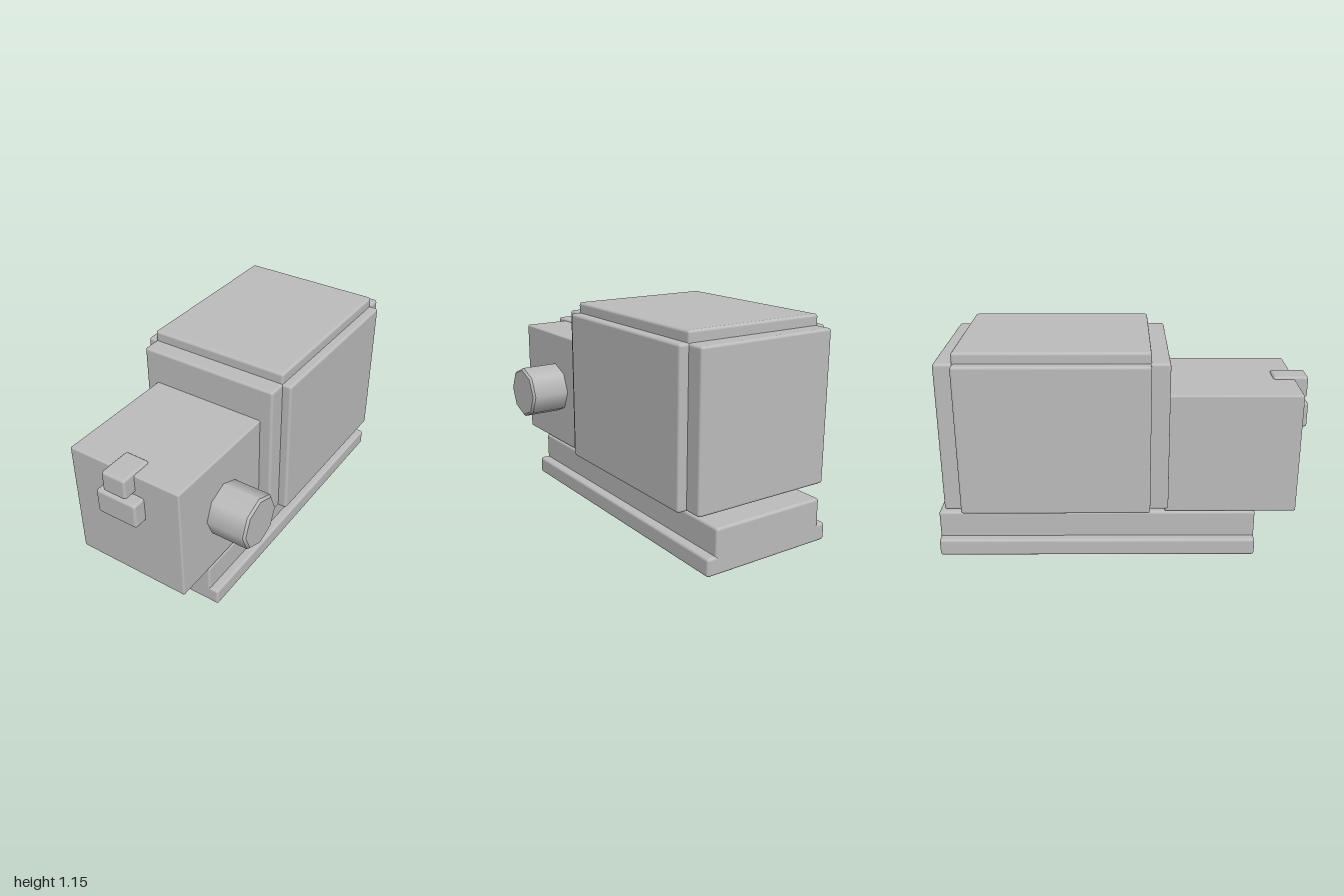
import * as THREE from 'three';
import { RoundedBoxGeometry } from 'three/addons/geometries/RoundedBoxGeometry.js';

export function createModel() {
  const model = new THREE.Group();
  model.name = 'boxMachine';
  const grey = new THREE.MeshStandardMaterial({ color: 0xbcbcbc });
  grey.name = 'plain grey';

  // Box with softly bevelled edges, given by its extents on each axis
  function block(name, [x0, x1], [y0, y1], [z0, z1], bevel = 0.015) {
    const geometry = new RoundedBoxGeometry(x1 - x0, y1 - y0, z1 - z0, 2, bevel);
    const mesh = new THREE.Mesh(geometry, grey);
    mesh.name = name;
    mesh.position.set((x0 + x1) / 2, (y0 + y1) / 2, (z0 + z1) / 2);
    model.add(mesh);
  }

  // Stepped base
  block('basePlate', [-0.43, 0.33], [0, 0.096], [-1, 0.71]);
  block('basePlinth', [-0.38, 0.28], [0.06, 0.24], [-1, 0.71]);

  // Main housing: three crossing boxes leave raised panels on the sides, ends and top
  block('sidePanels', [-0.5, 0.4], [0.29, 1.098], [-0.855, 0.138]);
  block('endPanels', [-0.45, 0.35], [0.29, 1.098], [-0.95, 0.235]);
  block('topPanel', [-0.45, 0.35], [0.34, 1.155], [-0.855, 0.138]);

  // Front head with its latch
  block('head', [-0.38, 0.28], [0.242, 0.905], [0.22, 0.928], 0.01);
  block('latchHook', [-0.12, 0.02], [0.8, 0.918], [0.81, 1]);
  block('latchPlate', [-0.168, 0.07], [0.645, 0.786], [0.88, 1]);

  // Eight-sided knob on the left of the head, with a chamfered rim
  const knob = new THREE.Group();
  knob.name = 'knob';
  const radius = 0.147, chamfer = 0.012, length = 0.25;
  const shaft = new THREE.Mesh(
    new THREE.CylinderGeometry(radius, radius, length - chamfer, 8), grey);
  shaft.name = 'knobShaft';
  shaft.position.y = (length - chamfer) / 2;
  const rim = new THREE.Mesh(
    new THREE.CylinderGeometry(radius - chamfer, radius, chamfer, 8), grey);
  rim.name = 'knobRim';
  rim.position.y = length - chamfer / 2;
  knob.add(shaft, rim);
  knob.rotation.z = -Math.PI / 2;
  knob.position.set(0.25, 0.575, 0.57);
  model.add(knob);

  return model;
}
